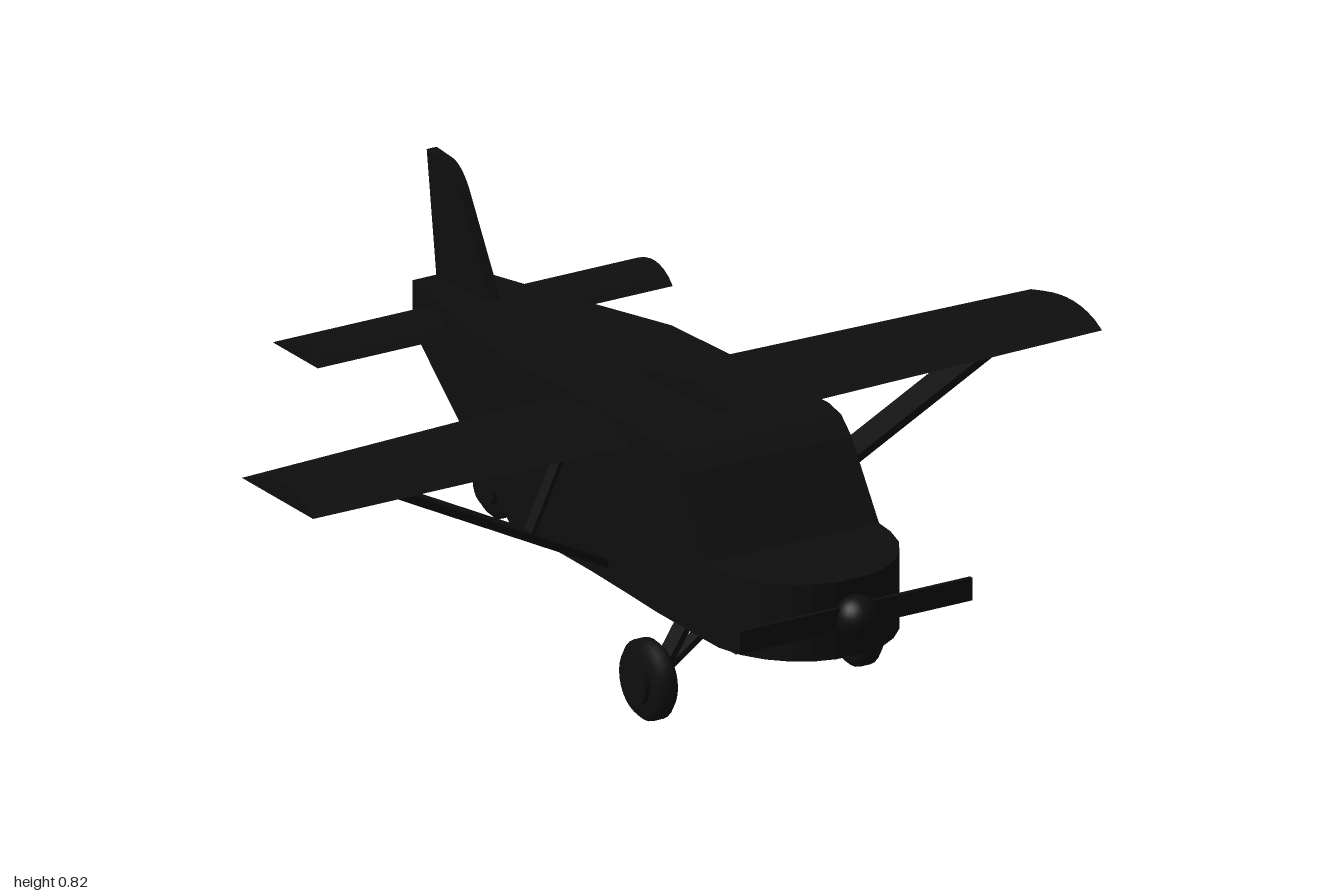
import * as THREE from 'three';

const black = new THREE.MeshStandardMaterial({ name: 'matte black', color: 0x0e0e0e });
const grey = new THREE.MeshStandardMaterial({ name: 'belly grey', color: 0x2c2e36 });
const silver = new THREE.MeshStandardMaterial({ name: 'belly silver', color: 0x75828b });

export function createModel() {
  const model = new THREE.Group();
  model.name = 'lightAircraft';

  const add = (name, geometry, material = black, parent = model) => {
    const mesh = new THREE.Mesh(geometry, material);
    mesh.name = name;
    parent.add(mesh);
    return mesh;
  };

  // Faceted skin over rings of points, closed at both ends
  const loft = (rings) => {
    const p = [];
    const tri = (...points) => points.forEach((v) => p.push(...v));
    const n = rings[0].length;
    for (let i = 0; i + 1 < rings.length; i++) {
      for (let j = 0; j < n; j++) {
        const k = (j + 1) % n, r = rings[i], s = rings[i + 1];
        tri(r[j], r[k], s[k]);
        tri(r[j], s[k], s[j]);
      }
    }
    const first = rings[0], last = rings[rings.length - 1];
    for (let j = 1; j + 1 < n; j++) {
      tri(first[0], first[j + 1], first[j]);
      tri(last[0], last[j], last[j + 1]);
    }
    const g = new THREE.BufferGeometry();
    g.setAttribute('position', new THREE.Float32BufferAttribute(p, 3));
    g.computeVertexNormals();
    return g;
  };

  // Flat-bottomed aerofoil section at one x
  const foil = (x, front, back, bottom, height) => {
    const ring = [[x, bottom, front]];
    for (let i = 0; i < 10; i++) {
      const f = 1 - i / 10;
      const y = bottom + height * Math.sin(Math.PI * Math.pow(f, 0.8));
      ring.push([x, y, front + (back - front) * f]);
    }
    return ring;
  };

  // Side outline in (z, y) given a thickness along x
  const sidePlate = (shape, thickness) =>
    new THREE.ExtrudeGeometry(shape, { depth: thickness, bevelEnabled: false, curveSegments: 8 })
      .translate(0, 0, -thickness / 2).rotateY(-Math.PI / 2);

  // Straight bar between two points
  const beam = (name, a, b, width, depth, parent = model) => {
    const from = new THREE.Vector3(...a), to = new THREE.Vector3(...b);
    const dir = to.clone().sub(from);
    const mesh = add(name, new THREE.BoxGeometry(width, dir.length(), depth), black, parent);
    mesh.position.copy(from).add(to).multiplyScalar(0.5);
    mesh.quaternion.setFromUnitVectors(new THREE.Vector3(0, 1, 0), dir.normalize());
  };

  // Fuselage stations: z, half width, bottom, top
  const stations = [
    [-0.84, 0.07, 0.44, 0.55], [-0.62, 0.12, 0.36, 0.562], [-0.24, 0.205, 0.22, 0.588],
    [0.0, 0.205, 0.22, 0.6], [0.25, 0.213, 0.22, 0.608], [0.37, 0.218, 0.22, 0.61],
    [0.42, 0.218, 0.22, 0.6], [0.46, 0.218, 0.22, 0.565], [0.572, 0.218, 0.22, 0.4],
    [0.62, 0.217, 0.22, 0.397], [0.68, 0.2, 0.22, 0.397], [0.73, 0.17, 0.22, 0.397],
    [0.77, 0.13, 0.22, 0.397], [0.795, 0.09, 0.22, 0.397], [0.81, 0.04, 0.22, 0.397],
  ];
  add('fuselage', loft(stations.map(([z, w, b, t]) =>
    [[-w, b, z], [w, b, z], [w, t, z], [-w, t, z]])));

  // Belly paint on the right half
  const stripe = add('bellyStripe', new THREE.BoxGeometry(0.05, 0.004, 0.99), silver);
  stripe.position.set(-0.085, 0.219, 0.255);
  const panel = add('bellyPanel', new THREE.BoxGeometry(0.094, 0.004, 0.9), grey);
  panel.position.set(-0.157, 0.219, 0.215);

  // Main wing and tailplane
  add('wing', loft([
    foil(-1, 0.23, -0.055, 0.552, 0.043), foil(-0.2, 0.25, -0.08, 0.56, 0.038),
    foil(0.2, 0.25, -0.08, 0.565, 0.033), foil(1, 0.23, -0.055, 0.565, 0.03),
  ]));
  add('tailplane', loft([-0.45, 0.45].map((x) => foil(x, -0.62, -0.8, 0.5, 0.035))));

  // Tail fin
  const fin = new THREE.Shape();
  fin.moveTo(-0.6, 0.55);
  fin.lineTo(-0.62, 0.565);
  fin.lineTo(-0.735, 0.76);
  fin.quadraticCurveTo(-0.77, 0.825, -0.82, 0.825);
  fin.lineTo(-0.875, 0.828);
  fin.lineTo(-0.835, 0.54);
  add('tailFin', sidePlate(fin, 0.025));

  // Narrow fairing on the roof
  const fairing = new THREE.Shape();
  fairing.moveTo(0.29, 0.6);
  fairing.quadraticCurveTo(0.25, 0.655, 0.21, 0.655);
  fairing.lineTo(-0.01, 0.612);
  fairing.lineTo(-0.01, 0.59);
  add('roofFairing', sidePlate(fairing, 0.036));

  // Propeller and spinner
  add('propeller', new THREE.BoxGeometry(0.59, 0.052, 0.01)).position.set(0, 0.316, 0.82);
  add('spinner', new THREE.SphereGeometry(0.048, 24, 16)).position.set(0, 0.316, 0.827);

  // Wheel with tyre and hub, axle along x
  const makeWheel = (name, radius, width, hubWidth, position) => {
    const wheel = new THREE.Group();
    wheel.name = name;
    wheel.position.set(...position);
    const c = width * 0.25, h = width / 2;
    const profile = [[radius * 0.5, -h], [radius - c, -h], [radius, -h + c], [radius, h - c],
      [radius - c, h], [radius * 0.5, h]].map(([r, y]) => new THREE.Vector2(r, y));
    add('tyre', new THREE.LatheGeometry(profile, 28).rotateZ(Math.PI / 2), black, wheel);
    add('hub', new THREE.CylinderGeometry(radius * 0.55, radius * 0.55, hubWidth, 24)
      .rotateZ(Math.PI / 2), black, wheel);
    model.add(wheel);
  };

  // Main gear and wing struts on each side
  for (const [side, s, wheelX, wheelZ] of [['left', 1, 0.275, 0.388], ['right', -1, -0.27, 0.42]]) {
    makeWheel(side + 'MainWheel', 0.09, 0.052, 0.08, [wheelX, 0.093, wheelZ]);
    beam(side + 'OuterLeg', [s * 0.15, 0.23, 0.405], [s * 0.24, 0.09, 0.405], 0.014, 0.045);
    beam(side + 'InnerLeg', [s * 0.04, 0.23, 0.405], [s * 0.24, 0.09, 0.405], 0.014, 0.03);
    beam(side + 'WingStrut', [s * 0.2, 0.255, 0.127], [s * 0.81, 0.565, 0.127], 0.018, 0.075);
    beam(side + 'JuryStrut', [s * 0.39, 0.35, 0.127], [s * 0.285, 0.57, 0.127], 0.01, 0.03);
    beam(side + 'TailWheelFork', [s * 0.03, 0.285, -0.34], [s * 0.03, 0.14, -0.61], 0.014, 0.03);
  }
  makeWheel('tailWheel', 0.074, 0.04, 0.075, [0, 0.142, -0.61]);

  return model;
}
